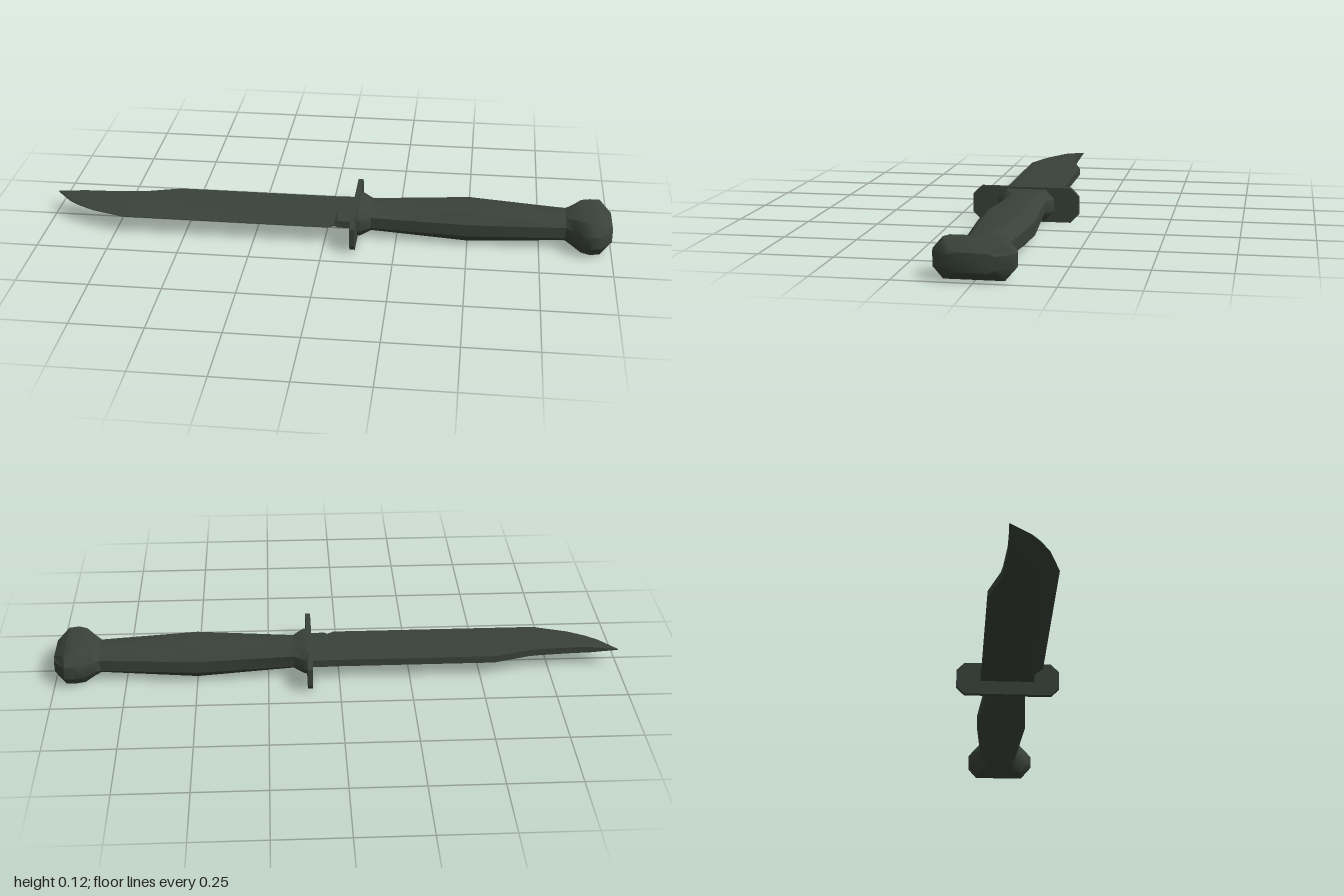
import * as THREE from 'three';
import { toCreasedNormals } from 'three/addons/utils/BufferGeometryUtils.js';

const MID = 0.062; // height of the knife's centre plane

// Skin a list of rings ([x,y,z] points, turning from +y to +z, ordered along +x) and cap both ends
function loft(rings, crease) {
  const n = rings[0].length, index = [], last = (rings.length - 1) * n;
  for (let s = 0; s < rings.length - 1; s++) {
    for (let i = 0; i < n; i++) {
      const a = s * n + i, b = s * n + (i + 1) % n;
      index.push(a, b, b + n, a, b + n, a + n);
    }
  }
  for (let i = 1; i < n - 1; i++) {
    index.push(0, i + 1, i, last, last + i, last + i + 1);
  }
  const geometry = new THREE.BufferGeometry();
  geometry.setAttribute('position', new THREE.Float32BufferAttribute(rings.flat(2), 3));
  geometry.setIndex(index);
  return toCreasedNormals(geometry, crease);
}

// Eight-sided section: z range, half height, half height of the side flat, corner cut
function octagon(x, z0, z1, h, side, cut) {
  return [
    [h, z1 - cut], [side, z1], [-side, z1], [-h, z1 - cut],
    [-h, z0 + cut], [-side, z0], [side, z0], [h, z0 + cut],
  ].map(([y, z]) => [x, MID + y, z]);
}

// Blade section: flat sides from the spine, then a bevel down to the cutting edge
function bladeSection([x, spine, edge, t, e]) {
  const bevel = spine + (edge - spine) * 0.6;
  return [[t, spine], [t, bevel], [e, edge], [-e, edge], [-t, bevel], [-t, spine]]
    .map(([y, z]) => [x, MID + 0.003 + y, z]);
}

export function createModel() {
  const group = new THREE.Group();
  const darkGreen = new THREE.MeshStandardMaterial({ color: 0x39423a });
  darkGreen.name = 'darkGreen';
  const add = (name, geometry) => {
    const mesh = new THREE.Mesh(geometry, darkGreen);
    mesh.name = name;
    group.add(mesh);
  };

  // Clip-point blade: x, spine z, edge z, half thickness, half edge thickness
  add('blade', loft([
    [-1, -0.052, -0.048, 0.001, 0.0005],
    [-0.94, -0.049, 0.02, 0.007, 0.001],
    [-0.9, -0.048, 0.05, 0.011, 0.001],
    [-0.84, -0.048, 0.083, 0.012, 0.001],
    [-0.72, -0.056, 0.122, 0.0125, 0.001],
    [-0.68, -0.061, 0.122, 0.0125, 0.001],
    [-0.55, -0.098, 0.122, 0.013, 0.001],
    [0.012, -0.098, 0.122, 0.013, 0.001],
    [0.035, -0.098, 0.098, 0.013, 0.006],
    [0.045, -0.1, 0.095, 0.013, 0.013],
    [0.1, -0.1, 0.095, 0.013, 0.013],
  ].map(bladeSection), 0.35));

  // Cross guard with cut corners
  add('guard', loft([0.095, 0.113].map(
    (x) => octagon(x, -0.187, 0.187, 0.061, 0.032, 0.029)), 0.3));

  // Grip: flared collar, swelling middle, narrow neck
  add('grip', loft([
    octagon(0.113, -0.1, 0.096, 0.054, 0.022, 0.03),
    octagon(0.125, -0.098, 0.094, 0.052, 0.022, 0.03),
    octagon(0.16, -0.075, 0.067, 0.043, 0.02, 0.03),
    octagon(0.5, -0.1, 0.088, 0.056, 0.022, 0.034),
    octagon(0.84, -0.073, 0.067, 0.043, 0.02, 0.03),
  ], 0.7));

  // Pommel flaring out and rounding off at the end
  add('pommel', loft([
    octagon(0.84, -0.073, 0.067, 0.043, 0.02, 0.03),
    octagon(0.865, -0.087, 0.09, 0.051, 0.021, 0.031),
    octagon(0.895, -0.112, 0.122, 0.06, 0.023, 0.032),
    octagon(0.925, -0.121, 0.137, 0.06, 0.023, 0.032),
    octagon(0.96, -0.121, 0.129, 0.06, 0.023, 0.032),
    octagon(1, -0.068, 0.078, 0.03, 0.021, 0.02),
  ], 0.7));

  return group;
}
